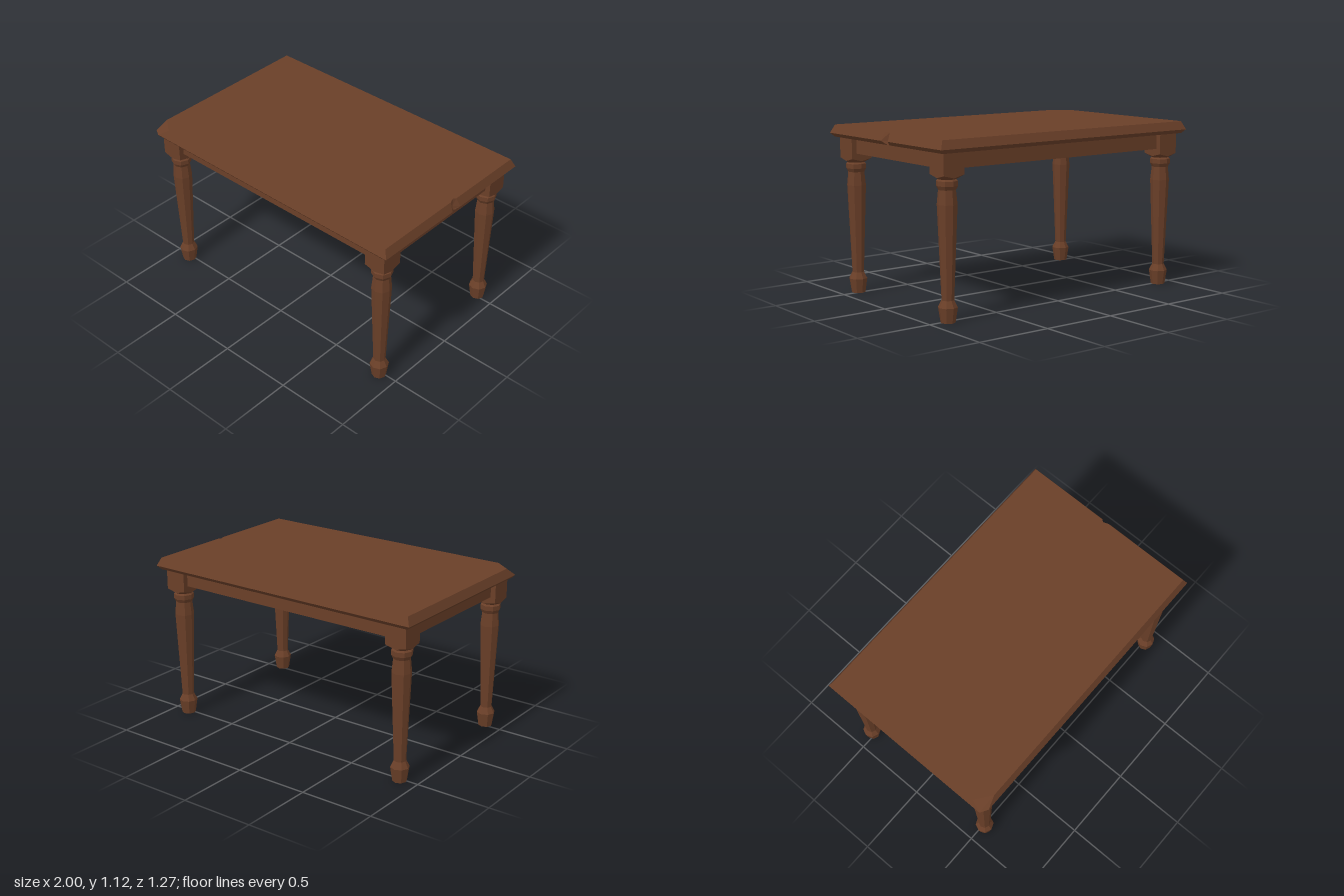
import * as THREE from 'three';

const wood = new THREE.MeshStandardMaterial({ color: 0x6a3f28, flatShading: true });

// Skins rings of [x, y, z] points (bottom to top, counter-clockwise from above) and caps both ends.
function loft(name, rings) {
  const n = rings[0].length;
  const index = [];
  for (let r = 0; r < rings.length - 1; r++) {
    for (let i = 0; i < n; i++) {
      const j = (i + 1) % n;
      const a = r * n + i, b = r * n + j;
      index.push(a, b, b + n, a, b + n, a + n);
    }
  }
  const cap = (ring) => THREE.ShapeUtils.triangulateShape(
    ring.map(([x, , z]) => new THREE.Vector2(x, -z)), []);
  const last = (rings.length - 1) * n;
  for (const [a, b, c] of cap(rings[0])) index.push(a, c, b);
  for (const [a, b, c] of cap(rings[rings.length - 1])) index.push(last + a, last + b, last + c);

  const geometry = new THREE.BufferGeometry();
  geometry.setAttribute('position', new THREE.Float32BufferAttribute(rings.flat(2), 3));
  geometry.setIndex(index);
  const flat = geometry.toNonIndexed();
  flat.computeVertexNormals();
  const mesh = new THREE.Mesh(flat, wood);
  mesh.name = name;
  return mesh;
}

// Eight points around the leg axis; corners (odd points) may have their own radius and height.
function ring(radius, y, cornerRadius = radius, cornerY = y) {
  return Array.from({ length: 8 }, (_, i) => {
    const a = (i * Math.PI) / 4;
    const r = i % 2 ? cornerRadius : radius;
    return [Math.sin(a) * r, i % 2 ? cornerY : y, Math.cos(a) * r];
  });
}

// Turned octagonal leg that opens into a square block under the top
function makeLeg(name, x, z) {
  const half = 0.074, corner = half * Math.SQRT2;
  const profile = [
    [0.046, 0], [0.061, 0.095], [0.039, 0.138], [0.063, 0.72],
    [0.054, 0.808], [0.067, 0.832], [0.067, 0.862], [0.056, 0.872],
  ];
  const leg = loft(name, [
    ...profile.map(([r, y]) => ring(r, y)),
    ring(half, 0.882, corner, 0.9),
    ring(half, 1.036, corner, 1.036),
  ]);
  leg.position.set(x, 0, z);
  return leg;
}

// Tabletop outline at one height, with a chipped front corner and a nick in the left edge
function topOutline(y, hx, hz, chipX, chipZ, nick) {
  const [front, depth, apex, back] = nick;
  return [
    [-hx, hz - chipZ], [-hx + chipX, hz], [hx, hz],
    [hx, front], [depth, apex], [hx, back],
    [hx, -hz], [-hx, -hz],
  ].map(([x, z]) => [x, y, z]);
}

function makeRail(name, w, d, x, z) {
  const rail = new THREE.Mesh(new THREE.BoxGeometry(w, 0.102, d), wood);
  rail.name = name;
  rail.position.set(x, 0.985, z);
  return rail;
}

export function createModel() {
  const table = new THREE.Group();
  table.name = 'table';

  // Bevelled top
  table.add(loft('tabletop', [
    topOutline(1.035, 0.975, 0.615, 0.01, 0.01, [-0.025, 0.962, -0.037, -0.045]),
    topOutline(1.06, 1, 0.636, 0.05, 0.03, [0.014, 0.962, -0.036, -0.066]),
    topOutline(1.115, 0.975, 0.612, 0.105, 0.08, [0.003, 0.962, -0.034, -0.05]),
  ]));

  // Legs and the rails between them
  for (const s of [-1, 1]) {
    const end = s > 0 ? 'left' : 'right';
    table.add(makeLeg(end + 'FrontLeg', s * 0.878, 0.517));
    table.add(makeLeg(end + 'BackLeg', s * 0.878, -0.517));
    table.add(makeRail(end + 'Rail', 0.064, 0.9, s * 0.885, 0));
    table.add(makeRail(s > 0 ? 'frontRail' : 'backRail', 1.62, 0.064, 0, s * 0.524));
  }
  return table;
}
